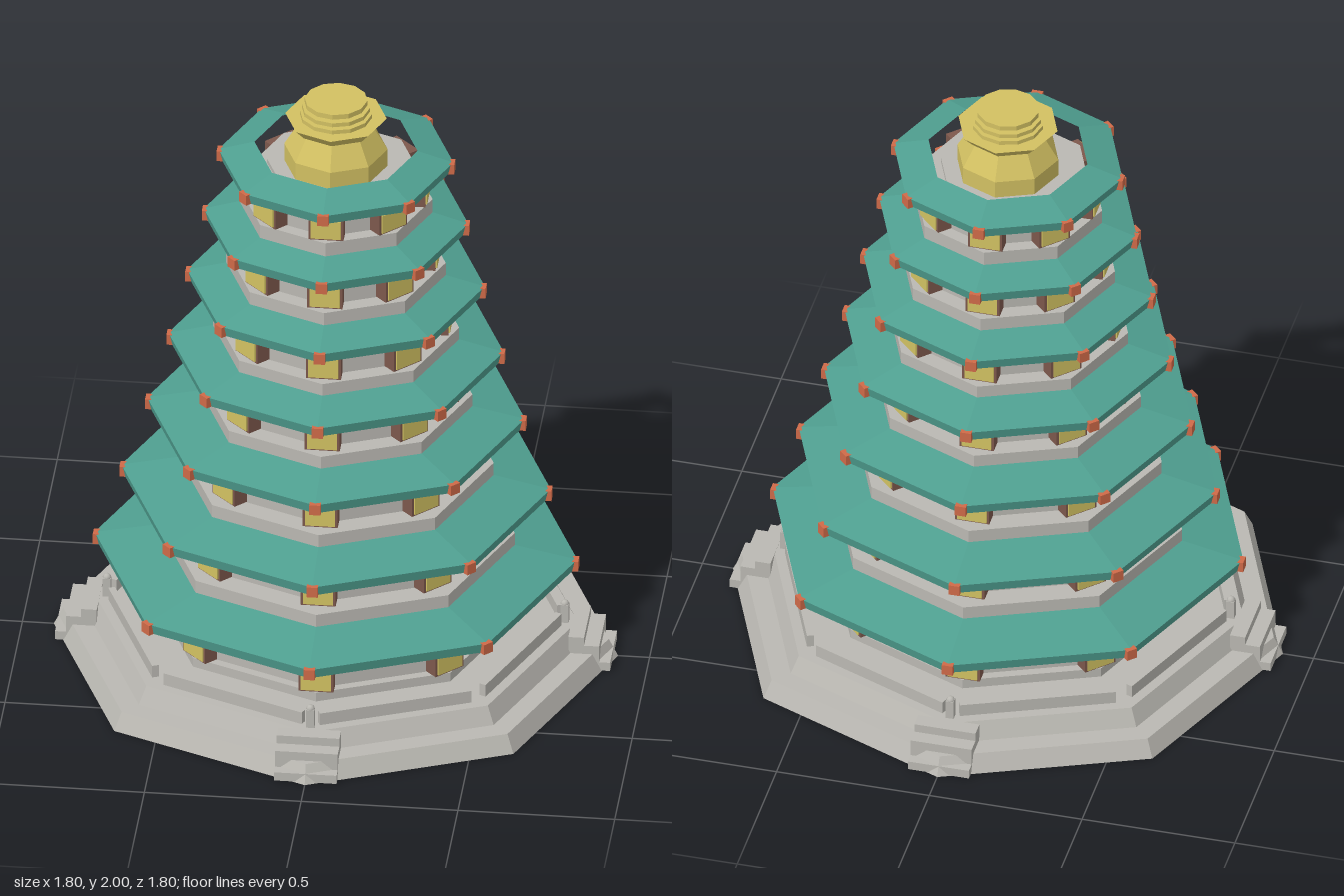
import * as THREE from 'three';

const mat = (name, color, side = THREE.FrontSide) => {
  const m = new THREE.MeshStandardMaterial({ color, side });
  m.name = name;
  return m;
};

export function createModel() {
  const stone = mat('stone grey', 0xbab8b2);
  const teal = mat('teal roof tile', 0x4f9f90, THREE.DoubleSide);
  const wood = mat('brown wood', 0x7d584c);
  const pane = mat('warm window', 0xd2c262);
  const gold = mat('gold', 0xd2c062);
  const orange = mat('orange ornament', 0xcf6a48);

  const model = new THREE.Group();
  model.name = 'pagoda';

  const add = (parent, name, geo, material, x = 0, y = 0, z = 0) => {
    const mesh = new THREE.Mesh(geo, material);
    mesh.name = name;
    mesh.position.set(x, y, z);
    parent.add(mesh);
    return mesh;
  };

  // Faceted frustum between two heights, corners on the x and z axes
  const prism = (parent, name, material, rBottom, rTop, y0, y1, open = false, sides = 8) => {
    const geo = new THREE.CylinderGeometry(rTop, rBottom, y1 - y0, sides, 1, open).toNonIndexed();
    geo.computeVertexNormals();
    return add(parent, name, geo, material, 0, (y0 + y1) / 2, 0);
  };

  // Repeats a part around the tower; +z points outward in each copy
  const around = (parent, name, count, build, offset = 0) => {
    for (let i = 0; i < count; i++) {
      const g = new THREE.Group();
      g.name = name;
      g.rotation.y = offset + (i * Math.PI * 2) / count;
      build(g);
      parent.add(g);
    }
  };

  const box = (parent, name, material, w, h, d, x, y, z) =>
    add(parent, name, new THREE.BoxGeometry(w, h, d), material, x, y, z);

  // Stepped platform
  const platform = new THREE.Group();
  platform.name = 'platform';
  model.add(platform);
  prism(platform, 'lowerPlatform', stone, 0.9, 0.87, 0, 0.06);
  prism(platform, 'upperPlatform', stone, 0.8, 0.77, 0.06, 0.118);

  // Stairs and newel posts on the four axes
  around(platform, 'stairs', 4, (g) => {
    box(g, 'lowerStep', stone, 0.2, 0.03, 0.05, 0, 0.017, 0.86);
    box(g, 'middleStep', stone, 0.2, 0.06, 0.07, 0, 0.06, 0.815);
    box(g, 'upperStep', stone, 0.2, 0.06, 0.05, 0, 0.089, 0.777);
    box(g, 'post', stone, 0.026, 0.065, 0.026, 0, 0.15, 0.73);
    add(g, 'postCap', new THREE.SphereGeometry(0.014, 8, 6), stone, 0, 0.182, 0.73);
  });

  // Low parapet along the platform edges
  around(platform, 'parapet', 8, (g) => {
    box(g, 'rail', stone, 0.5, 0.045, 0.022, 0, 0.138, 0.668);
  }, Math.PI / 8);

  // Storeys: slab radius, wall radius, floor, window height, eave radius, eave height, roof top
  const storeys = [
    { slab: 0.58, wall: 0.55, floor: 0.15, win: 0.135, eave: 0.77, eaveY: 0.347, top: 0.39 },
    { slab: 0.57, wall: 0.49, floor: 0.432, win: 0.118, eave: 0.685, eaveY: 0.602, top: 0.645 },
    { slab: 0.503, wall: 0.43, floor: 0.687, win: 0.112, eave: 0.603, eaveY: 0.857, top: 0.895 },
    { slab: 0.435, wall: 0.372, floor: 0.936, win: 0.106, eave: 0.535, eaveY: 1.1, top: 1.14 },
    { slab: 0.393, wall: 0.338, floor: 1.18, win: 0.095, eave: 0.475, eaveY: 1.338, top: 1.375 },
    { slab: 0.35, wall: 0.297, floor: 1.417, win: 0.09, eave: 0.422, eaveY: 1.567, top: 1.605 },
    { slab: 0.308, wall: 0.265, floor: 1.65, win: 0.077, eave: 0.375, eaveY: 1.79, top: 1.825 },
  ];

  storeys.forEach((s, i) => {
    const storey = new THREE.Group();
    storey.name = `storey${i + 1}`;
    model.add(storey);
    const last = i === storeys.length - 1;

    prism(storey, 'floorSlab', stone, s.slab, s.slab, i ? storeys[i - 1].top - 0.008 : 0.11, s.floor);
    prism(storey, 'wall', stone, s.wall, s.wall, s.floor, last ? 1.75 : s.top);

    // Open tiled roof with a narrow fascia
    const inner = last ? 0.26 : storeys[i + 1].slab - 0.01;
    prism(storey, 'roof', teal, s.eave, inner, s.eaveY, s.top, true);
    prism(storey, 'fascia', teal, s.eave - 0.008, s.eave, s.eaveY - 0.034, s.eaveY, true);

    // Framed windows and eave ornaments at each corner
    around(storey, 'corner', 8, (g) => {
      const y = s.floor + s.win / 2 + 0.002;
      const face = s.wall + 0.026;
      box(g, 'windowFrame', wood, 0.112, s.win, 0.09, 0, y, face - 0.045);
      box(g, 'windowPane', pane, 0.096, s.win - 0.012, 0.006, 0, y, face + 0.002);
      box(g, 'eaveOrnament', orange, 0.036, 0.036, 0.036, 0, s.eaveY - 0.016, s.eave - 0.014);
    });
  });

  // Gilded finial
  const finial = new THREE.Group();
  finial.name = 'finial';
  model.add(finial);
  prism(finial, 'finialPlinth', stone, 0.22, 0.22, 1.74, 1.765);
  prism(finial, 'finialFoot', gold, 0.165, 0.165, 1.76, 1.825);
  prism(finial, 'finialBase', gold, 0.165, 0.118, 1.825, 1.905);
  prism(finial, 'finialFlare', gold, 0.13, 0.162, 1.903, 1.938);
  prism(finial, 'finialMast', gold, 0.035, 0.035, 1.93, 1.995, false, 12);
  [[0.115, 1.938, 1.952], [0.108, 1.96, 1.974], [0.1, 1.983, 2.0]].forEach(([r, y0, y1]) =>
    prism(finial, 'finialRing', gold, r, r, y0, y1, false, 12));

  return model;
}
